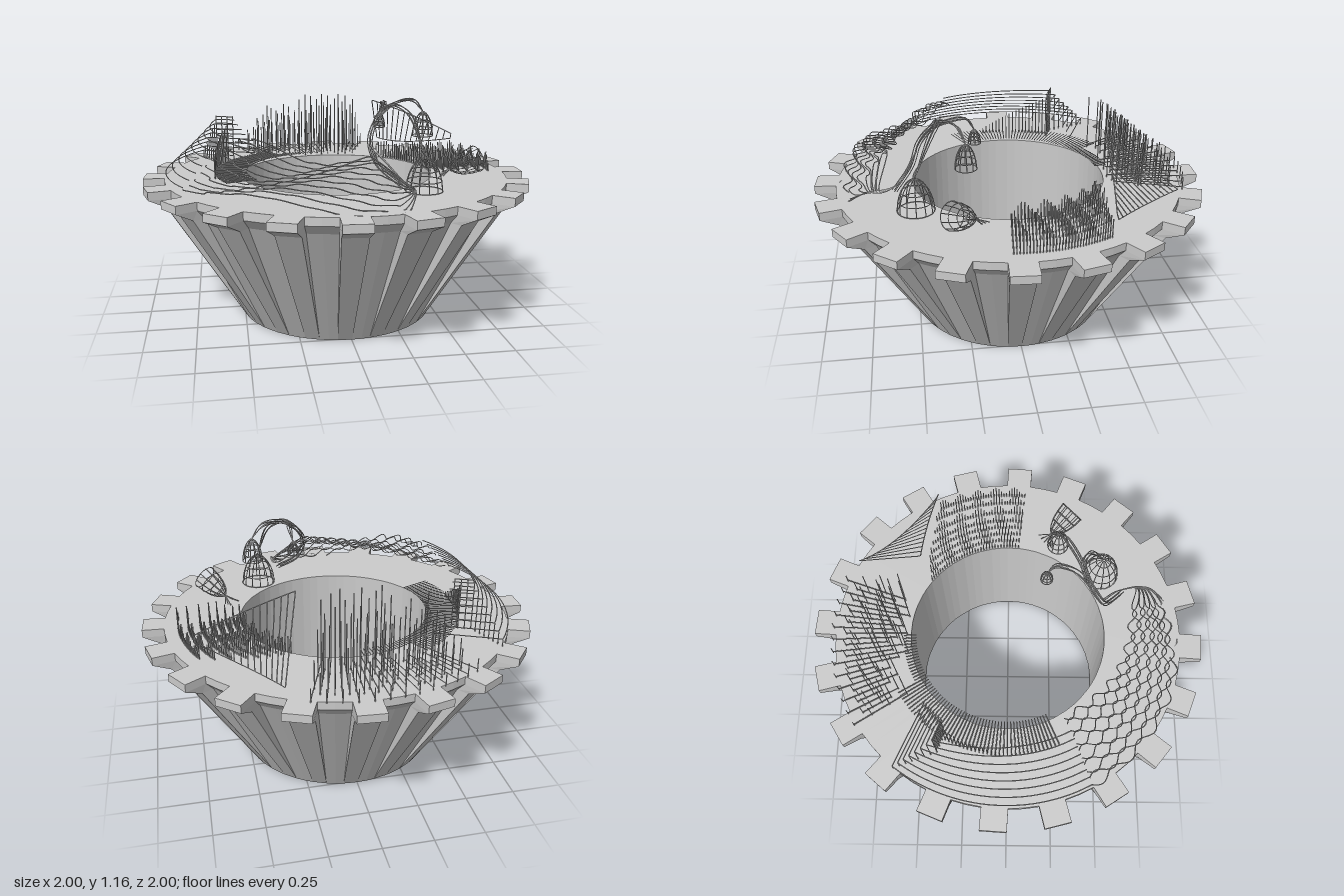
import * as THREE from 'three';
import { mergeGeometries } from 'three/addons/utils/BufferGeometryUtils.js';

const V = (x, y, z) => new THREE.Vector3(x, y, z);
const rad = THREE.MathUtils.degToRad;
const lerp = THREE.MathUtils.lerp;
const polar = (r, deg, y) => V(r * Math.cos(rad(deg)), y, r * Math.sin(rad(deg)));
const RIM = 0.73;
const WIRE = 0.0028;

const wireMaterial = new THREE.MeshStandardMaterial({ color: 0xcccccc });
const bodyMaterial = new THREE.MeshStandardMaterial({ color: 0xcccccc, flatShading: true });

// Straight rod and smooth wire geometries
const rod = (a, b, r = WIRE) => new THREE.TubeGeometry(new THREE.LineCurve3(a, b), 1, r, 4);
const wire = (points, steps = 40, closed = false, r = WIRE) =>
  new THREE.TubeGeometry(new THREE.CatmullRomCurve3(points, closed), steps, r, 4, closed);

function part(name, geometries) {
  const mesh = new THREE.Mesh(mergeGeometries(geometries), wireMaterial);
  mesh.name = name;
  return mesh;
}

// Toothed rim lofted down to a round foot, with a straight bore
function gearBowl() {
  const rings = [ // [root radius, tip radius, height]
    [0.5, 0.5, RIM], [0.89, 1, RIM], [0.89, 1, 0.69], [0.85, 0.91, 0.645],
    [0.51, 0.51, 0], [0.5, 0.5, 0], [0.5, 0.5, RIM],
  ];
  const profile = [];
  for (let t = 0; t < 20; t++) {
    const mid = 3.5 + 18 * t;
    profile.push([mid - 4.2, 0], [mid - 3.8, 1], [mid + 3.8, 1], [mid + 4.2, 0], [mid + 9, 0]);
  }
  const n = profile.length;
  const positions = [], index = [];
  rings.forEach(([root, tip, y], k) => {
    profile.forEach(([deg, isTip], i) => {
      positions.push(...polar(isTip ? tip : root, deg, y).toArray());
      if (k === rings.length - 1) return;
      const j = (i + 1) % n;
      const a = k * n + i, b = k * n + j, c = b + n, d = a + n;
      index.push(a, b, c, a, c, d);
    });
  });
  let geo = new THREE.BufferGeometry();
  geo.setAttribute('position', new THREE.Float32BufferAttribute(positions, 3));
  geo.setIndex(index);
  geo = geo.toNonIndexed();
  geo.computeVertexNormals();
  const mesh = new THREE.Mesh(geo, bodyMaterial);
  mesh.name = 'gearBowl';
  return mesh;
}

// Wavy lattice across the front left, gathered into the stem of the lamps
function waveNet() {
  const list = [];
  const count = 11;
  for (let j = 0; j < count; j++) {
    const f = j / (count - 1);
    const points = [];
    const end = lerp(84, 77, f);
    for (let s = 0; s <= 44; s++) {
      const t = s / 44;
      const wave = Math.sin(t * Math.PI * 13 + (j % 2) * Math.PI);
      const base = lerp(lerp(0.57, 0.62, t), lerp(0.88, 0.85, t), f);
      const y = lerp(0.96, 0.79, f) - 0.05 * t + 0.03 * Math.sin(t * 7 + f * 5);
      points.push(polar(base + 0.021 * wave, lerp(152, end, t), y + 0.008 * wave));
    }
    points.push(V(0.245, 0.79, 0.66 + 0.07 * f), V(0.22, 0.81, 0.58), V(0.1 + 0.01 * f, 0.94, 0.47));
    list.push(wire(points, 130));
  }
  return part('waveNet', list);
}

// Nested strings around the left, stepping up towards the bore, with a ladder at their corner
function leftStrings() {
  const list = [];
  const count = 8;
  for (let i = 0; i < count; i++) {
    const f = i / (count - 1);
    const y = lerp(0.77, 0.98, f);
    const corner = V(lerp(-0.7, -0.62, f), y, lerp(-0.55, -0.34, f));
    const r1 = Math.hypot(corner.x, corner.z);
    const a1 = 180 + THREE.MathUtils.radToDeg(Math.atan2(-corner.z, -corner.x));
    const points = [];
    for (let s = 0; s <= 12; s++) {
      const t = s / 12;
      points.push(polar(lerp(lerp(0.88, 0.64, f), r1, t * t * t), lerp(152, a1, t), y));
    }
    list.push(wire(points, 36));
    list.push(rod(corner, V(lerp(-0.38, -0.52, f), y, lerp(-0.41, -0.3, f))));
    list.push(rod(corner, V(corner.x, RIM, corner.z)));
  }
  for (let i = 0; i < 4; i++) {
    const x = -0.62 + i * 0.03, z = -0.34 + i * 0.012;
    list.push(rod(V(x, RIM, z), V(x, 1, z)));
  }
  for (let i = 0; i < 7; i++) {
    const y = 0.78 + i * 0.036;
    list.push(rod(V(-0.62, y, -0.34), V(-0.53, y, -0.304)));
  }
  return part('leftStrings', list);
}

// Short radial bars around the bore, climbing like a stair on the left
function boreTicks() {
  const list = [];
  for (let i = 0; i <= 62; i++) {
    const deg = lerp(156, 268, i / 62);
    const stair = deg < 210 ? lerp(0.75, 0.97, Math.max(0, (deg - 172) / 38)) : 0.75;
    const outer = deg < 240 ? 0.635 : 0.535;
    list.push(rod(polar(0.47, deg, 0.75), polar(outer, deg, 0.75)));
    if (stair > 0.76) list.push(rod(polar(outer, deg, RIM), polar(outer, deg, stair)));
  }
  return part('boreTicks', list);
}

// Radial spokes at the back carrying pins that shorten outwards
function backCombs() {
  const list = [];
  for (let i = 0; i < 25; i++) {
    const deg = lerp(237, 289, i / 24);
    const inner = 0.52 + 0.1 * ((i * 3) % 5) / 4 + (i < 9 ? 0.08 : 0);
    const outer = 0.9 - 0.1 * ((i * 2) % 4) / 3;
    list.push(rod(polar(inner, deg, 0.745), polar(outer, deg, 0.745)));
    for (let k = 0; k < 4; k++) {
      const r = lerp(inner, outer, k / 3);
      const top = lerp(1.09, 0.8, Math.min(1, Math.max(0, (r - 0.53) / 0.35)));
      list.push(rod(polar(r, deg, RIM), polar(r, deg, top)));
    }
  }
  return part('backCombs', list);
}

// Ruled sail at the back right
function sail() {
  const upper = new THREE.QuadraticBezierCurve3(V(0.28, 1.06, -0.43), V(0.5, 0.99, -0.42), V(0.75, 0.86, -0.38));
  const lower = new THREE.QuadraticBezierCurve3(V(0.39, 0.78, -0.79), V(0.48, 0.76, -0.6), V(0.75, 0.83, -0.39));
  const list = [upper, lower].map((c) => new THREE.TubeGeometry(c, 24, WIRE, 4));
  for (let i = 0; i <= 14; i++) list.push(rod(upper.getPoint(i / 14), lower.getPoint(i / 14)));
  return part('sail', list);
}

// Concentric rows of small pins on the right
function pinRows() {
  const list = [];
  [0.505, 0.54, 0.58, 0.62, 0.66, 0.71, 0.77, 0.82].forEach((r, row) => {
    const start = lerp(-53, -27, row / 7);
    for (let i = 0; i < 34; i++) {
      const deg = lerp(start, 6, i / 33);
      const h = 0.065 + 0.03 * Math.sin(i * 0.9 + row);
      list.push(rod(polar(r, deg, RIM), polar(r, deg, RIM + h)));
    }
  });
  return part('pinRows', list);
}

// Wire bell hanging from its apex along a direction
function bell(name, apex, direction, radius, height, ribs = 10) {
  const profile = [[0.08, 0], [0.42, 0.13], [0.75, 0.4], [0.93, 0.7], [1, 1]];
  const at = ([r, h], a) => V(r * radius * Math.cos(a), -h * height, r * radius * Math.sin(a));
  const list = [];
  for (let i = 0; i < ribs; i++) {
    list.push(wire(profile.map((p) => at(p, (i / ribs) * Math.PI * 2)), 8, false, 0.0025));
  }
  for (const p of profile.slice(1)) {
    const ring = Array.from({ length: 12 }, (_, i) => at(p, (i / 12) * Math.PI * 2));
    list.push(wire(ring, 20, true, 0.0025));
  }
  const mesh = part(name, list);
  mesh.position.copy(apex);
  mesh.quaternion.setFromUnitVectors(V(0, -1, 0), direction.clone().normalize());
  return mesh;
}

// Bundled stems arching up and over to three bells
function lampStems() {
  const branches = [
    [V(0.18, 1.11, 0.33), V(0.2, 1.13, 0.23), V(0.19, 1.07, 0.19)],
    [V(0.22, 1.13, 0.35), V(0.34, 1.14, 0.28), V(0.4, 1.08, 0.25)],
    [V(0.21, 1.13, 0.36), V(0.29, 1.09, 0.4), V(0.35, 0.9, 0.49)],
  ];
  const list = [];
  for (const [a, b, tip] of branches) {
    for (let k = 0; k < 4; k++) {
      const ang = k * Math.PI / 2;
      const off = V(Math.cos(ang), 0.6 * Math.sin(ang), Math.sin(ang)).multiplyScalar(0.011);
      const path = [V(0.22, 0.78, 0.59), V(0.12, 0.87, 0.5), V(0.09, 0.97, 0.46), V(0.13, 1.06, 0.4), a, b];
      list.push(wire([...path.map((p) => p.add(off)), tip], 36));
      // (shared helper points are rebuilt per strand; undo the shift on the branch points)
      a.sub(off);
      b.sub(off);
    }
  }
  return part('lampStems', list);
}

// Fallen cup with its frayed tail
function cupTail() {
  const apex = V(0.56, 0.78, 0.23);
  const list = [];
  for (let i = 0; i < 6; i++) {
    list.push(rod(apex, V(0.49 + 0.015 * i, 0.735 + 0.012 * (i % 3), 0.24 - 0.016 * i)));
  }
  return part('cupTail', list);
}

export function createModel() {
  const model = new THREE.Group();
  model.name = 'gearBowlSculpture';
  const down = V(0, -1, 0);
  model.add(
    gearBowl(), waveNet(), leftStrings(), boreTicks(), backCombs(), sail(), pinRows(), lampStems(),
    bell('smallBell', V(0.19, 1.07, 0.19), down, 0.03, 0.07, 8),
    bell('middleBell', V(0.4, 1.08, 0.25), down, 0.052, 0.12),
    bell('largeBell', V(0.35, 0.9, 0.49), down, 0.09, 0.165, 12),
    bell('fallenCup', V(0.56, 0.78, 0.23), V(0.11, 0.08, 0.12), 0.066, 0.16),
    cupTail(),
  );
  return model;
}
